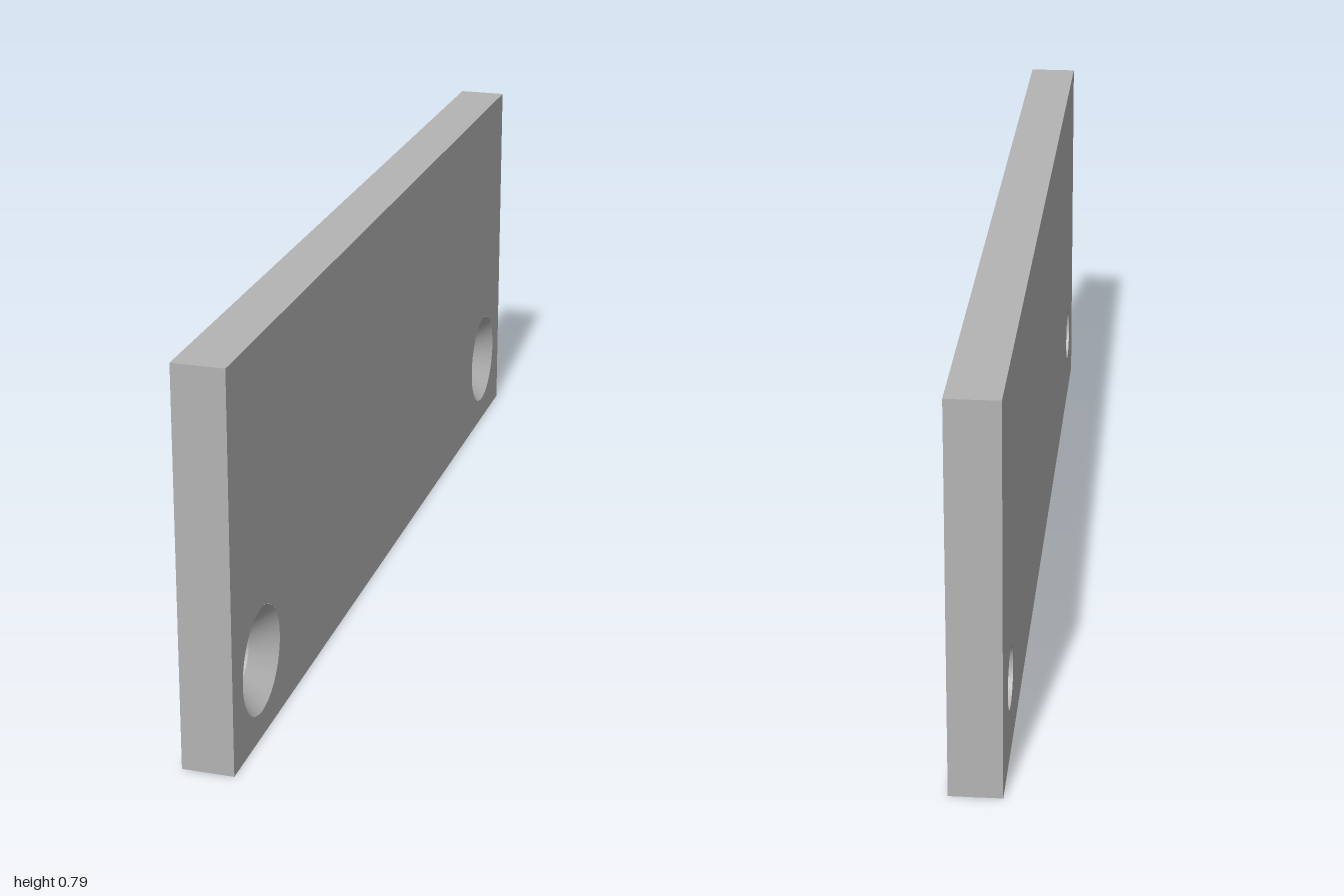
import * as THREE from 'three';

const LENGTH = 1.998, HEIGHT = 0.787, THICK = 0.101;
const HOLE_X = 0.839, HOLE_Y = 0.157 - HEIGHT / 2;
const SINK_R = 0.105, BORE_R = 0.059, SEGMENTS = 48;
const SINK_FLOOR = THICK / 2 - (SINK_R - BORE_R); // 45 degree countersink

// Rectangular face with two round holes, facing +z
function faceGeometry(radius) {
  const w = LENGTH / 2, h = HEIGHT / 2;
  const shape = new THREE.Shape([
    new THREE.Vector2(-w, -h), new THREE.Vector2(w, -h),
    new THREE.Vector2(w, h), new THREE.Vector2(-w, h),
  ]);
  for (const side of [-1, 1]) {
    shape.holes.push(new THREE.Path().absarc(side * HOLE_X, HOLE_Y, radius, 0, Math.PI * 2, true));
  }
  return new THREE.ShapeGeometry(shape, SEGMENTS);
}

// Inward-facing hole wall, running from front to back along z
function wallGeometry(r0, z0, r1, z1) {
  const profile = [new THREE.Vector2(r0, z0), new THREE.Vector2(r1, z1)];
  return new THREE.LatheGeometry(profile, SEGMENTS).rotateX(Math.PI / 2);
}

export function createModel() {
  const grey = new THREE.MeshStandardMaterial({ color: 0xb4b4b4 });
  grey.name = 'plate grey';

  const plate = new THREE.Group();
  plate.name = 'mountingPlate';
  const add = (name, geometry) => {
    const mesh = new THREE.Mesh(geometry, grey);
    mesh.name = name;
    plate.add(mesh);
    return mesh;
  };

  // Four narrow edges: a box without its two large faces
  const edges = new THREE.BoxGeometry(LENGTH, HEIGHT, THICK);
  edges.setIndex(Array.from(edges.index.array.slice(0, 24)));
  edges.clearGroups();
  add('plateEdges', edges);

  // Large faces: wide openings on one side, narrow on the other
  add('countersunkFace', faceGeometry(SINK_R)).position.z = THICK / 2;
  add('plainFace', faceGeometry(BORE_R).rotateY(Math.PI)).position.z = -THICK / 2;

  // Screw holes
  for (const [name, side] of [['back', 1], ['front', -1]]) {
    const x = side * HOLE_X;
    add(name + 'Countersink', wallGeometry(SINK_R, THICK / 2, BORE_R, SINK_FLOOR)).position.set(x, HOLE_Y, 0);
    add(name + 'Bore', wallGeometry(BORE_R, SINK_FLOOR, BORE_R, -THICK / 2)).position.set(x, HOLE_Y, 0);
  }

  // Stand the plate lengthwise, turned four degrees off the z axis
  plate.position.y = HEIGHT / 2;
  plate.rotation.y = THREE.MathUtils.degToRad(86);

  const model = new THREE.Group();
  model.name = 'model';
  model.add(plate);
  return model;
}
